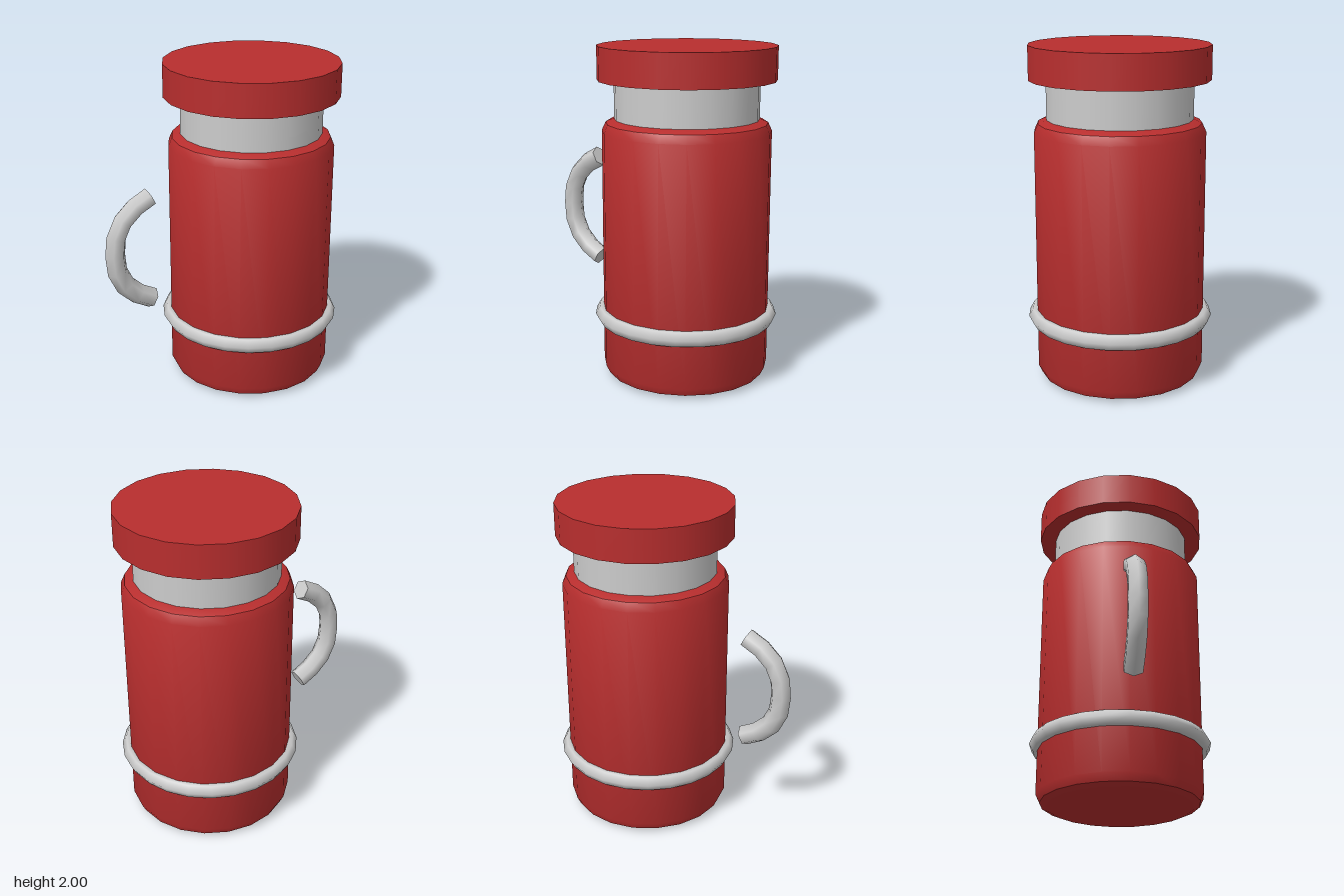
import * as THREE from 'three';
import { toCreasedNormals } from 'three/addons/utils/BufferGeometryUtils.js';

const AXIS_X = 0.207; // the flask stands off centre, the handle balances it
const SIDES = 20;

export function createModel() {
  const model = new THREE.Group();
  const red = new THREE.MeshStandardMaterial({ color: 0xb82e2e });
  const grey = new THREE.MeshStandardMaterial({ color: 0xcccccc });

  const add = (name, geometry, material, x = 0, y = 0) => {
    const mesh = new THREE.Mesh(geometry, material);
    mesh.name = name;
    mesh.position.set(x, y, 0);
    model.add(mesh);
    return mesh;
  };

  // Body with rounded-off rims
  const profile = [
    [0, 0], [0.43, 0], [0.48, 0.022], [0.503, 0.07],
    [0.503, 1.5], [0.48, 1.55], [0.43, 1.572], [0, 1.572],
  ].map(([r, y]) => new THREE.Vector2(r, y));
  const body = toCreasedNormals(new THREE.LatheGeometry(profile, SIDES), THREE.MathUtils.degToRad(32));
  add('body', body, red, AXIS_X);

  // Neck and lid
  add('neck', new THREE.CylinderGeometry(0.43, 0.43, 0.25, SIDES), grey, AXIS_X, 1.685);
  add('lid', new THREE.CylinderGeometry(0.53, 0.53, 0.2, SIDES), red, AXIS_X, 1.9);

  // Ring around the lower body
  const ring = add('ring', new THREE.TorusGeometry(0.503, 0.05, 6, 24), grey, AXIS_X, 0.382);
  ring.rotation.x = Math.PI / 2;

  // Handle: a capped six-sided bar bent along a curve
  const upper = [[-0.69, 0.118], [-0.645, 0.207], [-0.562, 0.283], [-0.471, 0.33]];
  const lower = upper.map(([x, y]) => [x, -y]).reverse();
  const path = new THREE.CatmullRomCurve3(
    [...lower, [-0.703, 0], ...upper].map(([x, y]) => new THREE.Vector3(x, y, 0)));
  add('handle', bentBar(path, 0.0625, 6, 8), grey, 0, 0.938);

  return model;
}

// Bends an upright cylinder along a path lying in the xy plane
function bentBar(path, radius, sides, steps) {
  const bar = new THREE.CylinderGeometry(radius, radius, 1, sides, steps, false, Math.PI / 2);
  const { position, normal } = bar.attributes;
  for (let i = 0; i < position.count; i++) {
    const u = THREE.MathUtils.clamp(position.getY(i) + 0.5, 0, 1);
    const p = path.getPointAt(u);
    const t = path.getTangentAt(u);
    const x = position.getX(i);
    const nx = normal.getX(i);
    const ny = normal.getY(i);
    position.setXY(i, p.x + x * t.y, p.y - x * t.x);
    normal.setXY(i, nx * t.y + ny * t.x, -nx * t.x + ny * t.y);
  }
  return bar;
}
